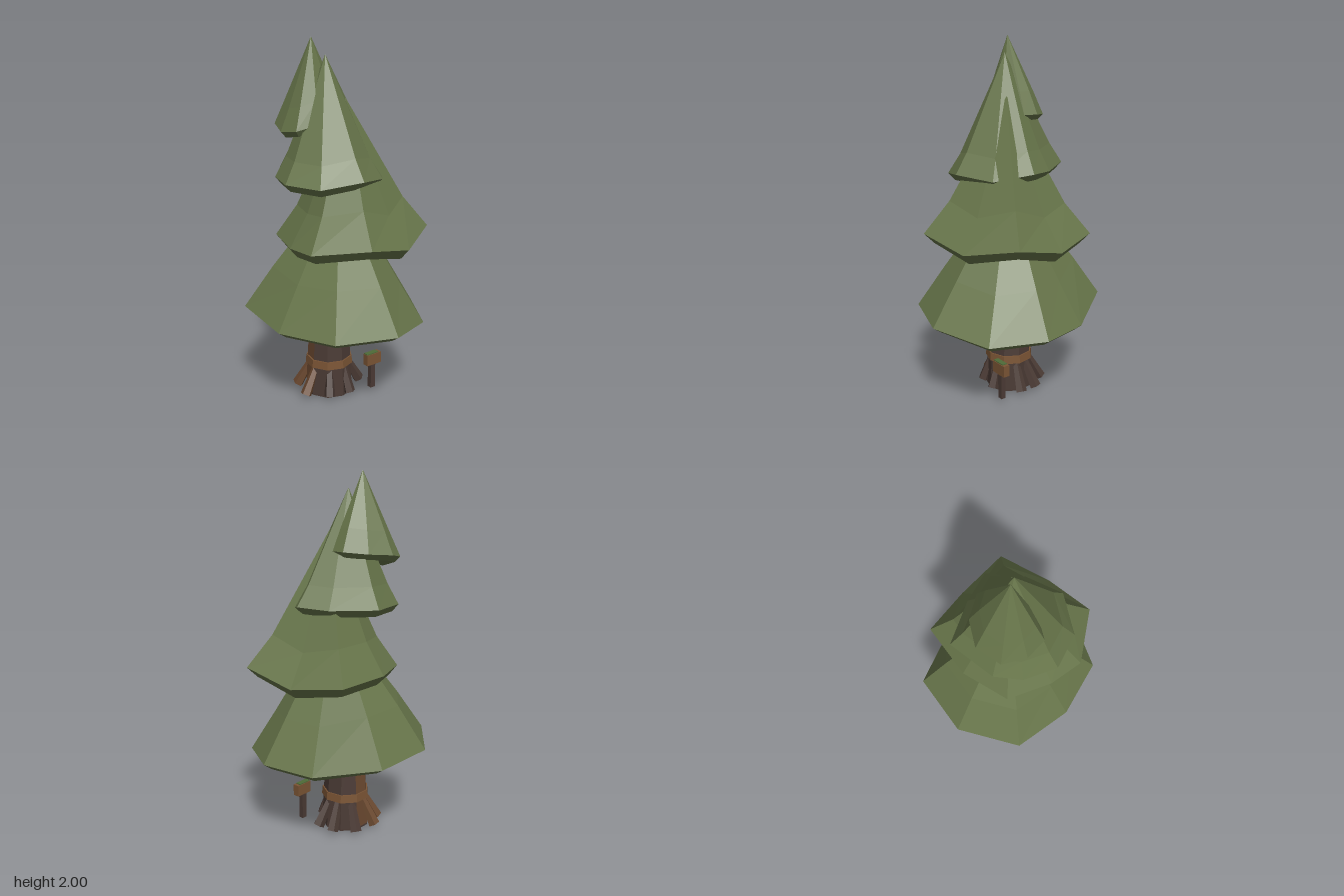
import * as THREE from 'three';

const mat = (name, color) => {
  const m = new THREE.MeshStandardMaterial({ color, flatShading: true });
  m.name = name;
  return m;
};

// Foliage tiers: apex, rim corners [x, z, y] counter-clockwise from above,
// mid = [share of the radius, height above the rim], lip = [drop, inset]
const TIERS = [
  { name: 'lowestFoliage', apex: [0, 1.25, 0], mid: [0.7, 0.23], lip: [0.035, 0.9],
    rim: [[0, 0.5, 0.5], [0.31, 0.36, 0.46], [0.46, 0.09, 0.48], [0.39, -0.2, 0.47], [0.2, -0.505, 0.54],
      [-0.17, -0.505, 0.54], [-0.465, -0.27, 0.54], [-0.465, 0.085, 0.5], [-0.33, 0.4, 0.51]] },
  { name: 'lowerFoliage', apex: [0.015, 1.69, 0.025], mid: [0.69, 0.17], lip: [0.055, 0.88],
    rim: [[-0.145, 0.455, 0.98], [0.15, 0.4, 0.92], [0.42, 0.25, 0.98], [0.39, -0.05, 0.91], [0.3, -0.33, 0.95],
      [-0.02, -0.33, 0.95], [-0.28, -0.22, 0.94], [-0.35, 0.03, 0.93], [-0.355, 0.23, 0.94]] },
  { name: 'upperFoliage', apex: [-0.075, 1.91, -0.03], mid: [0.78, 0.11], lip: [0.04, 0.88],
    rim: [[-0.07, 0.295, 1.29], [0.13, 0.2, 1.27], [0.255, 0.03, 1.31], [0.185, -0.13, 1.3], [0.04, -0.34, 1.31],
      [-0.22, -0.265, 1.3], [-0.32, -0.15, 1.28], [-0.37, 0.03, 1.27], [-0.28, 0.21, 1.26]] },
  { name: 'topFoliage', apex: [-0.125, 2, -0.085], mid: [0.73, 0.12], lip: [0.03, 0.85],
    rim: [[-0.17, 0.04, 1.56], [-0.03, 0.02, 1.58], [0.07, -0.05, 1.59], [0.08, -0.13, 1.59], [0, -0.235, 1.58],
      [-0.13, -0.29, 1.57], [-0.26, -0.24, 1.55], [-0.3, -0.115, 1.52], [-0.28, 0, 1.53]] },
];

// Faceted skirt: underside, bevelled lip, flared rim and point
function tierGeometry({ apex, rim, mid, lip }) {
  const n = rim.length, [ax, ay, az] = apex;
  const ring = (f, dy) => rim.map(([x, z, y]) => [ax + (x - ax) * f, y + dy, az + (z - az) * f]);
  const rings = [ring(lip[1], -lip[0]), ring(1, 0), ring(mid[0], mid[1])];
  const base = [ax, rim.reduce((s, c) => s + c[2], 0) / n - lip[0], az];
  const pos = [];
  const tri = (...p) => p.forEach((v) => pos.push(...v));
  for (let i = 0; i < n; i++) {
    const j = (i + 1) % n;
    tri(base, rings[0][j], rings[0][i]);
    for (let k = 0; k < 2; k++) {
      const [a, b, c, d] = [rings[k][i], rings[k][j], rings[k + 1][j], rings[k + 1][i]];
      tri(a, b, c);
      tri(a, c, d);
    }
    tri(rings[2][i], rings[2][j], apex);
  }
  const g = new THREE.BufferGeometry();
  g.setAttribute('position', new THREE.Float32BufferAttribute(pos, 3));
  g.computeVertexNormals();
  return g;
}

export function createModel() {
  const model = new THREE.Group();
  model.name = 'pineTree';
  const leaf = mat('needleGreen', 0x67754a);
  const darkBark = mat('darkBark', 0x4a3a34);
  const brownBark = mat('brownBark', 0x6b4930);
  const wood = mat('lightWood', 0x7a5434);
  const moss = mat('moss', 0x4f6b38);

  const add = (parent, name, geometry, material, x = 0, y = 0, z = 0) => {
    const m = new THREE.Mesh(geometry, material);
    m.name = name;
    m.position.set(x, y, z);
    parent.add(m);
    return m;
  };

  for (const t of TIERS) add(model, t.name, tierGeometry(t), leaf);

  // Trunk of flat bark strips, browner towards the back and -x side
  const trunk = new THREE.Group();
  trunk.name = 'trunk';
  trunk.position.set(-0.05, 0, -0.04);
  model.add(trunk);
  const bark = (a) => (Math.cos(a - Math.PI * 1.25) > 0.5 ? brownBark : darkBark);
  const sides = 9, step = (Math.PI * 2) / sides;
  const sections = [[0.01, 0.135], [0.2, 0.127], [0.6, 0.1]];
  for (let i = 0; i < sides; i++) {
    for (let k = 0; k < 2; k++) {
      const [y0, r0] = sections[k], [y1, r1] = sections[k + 1];
      add(trunk, 'barkStrip', new THREE.CylinderGeometry(r1, r0, y1 - y0, 1, 1, true, i * step, step),
        bark((i + 0.5) * step), 0, (y0 + y1) / 2, 0);
    }
  }
  add(trunk, 'trunkBase', new THREE.CylinderGeometry(0.135, 0.135, 0.01, sides), darkBark, 0, 0.01, 0);
  add(trunk, 'trunkBand', new THREE.CylinderGeometry(0.133, 0.137, 0.045, sides), wood, 0, 0.2, 0);

  // Roots splaying out to the ground
  const up = new THREE.Vector3(0, 1, 0);
  for (const deg of [15, 75, 108, 150, 195, 230, 278, 325]) {
    const a = THREE.MathUtils.degToRad(deg);
    const at = (r, y) => new THREE.Vector3(Math.sin(a) * r, y, Math.cos(a) * r);
    const reach = deg === 15 || deg === 325 ? 0.15 : 0.185;
    const top = at(0.1, 0.18), tip = at(reach, 0.025);
    const root = add(trunk, 'root', new THREE.CylinderGeometry(0.02, 0.033, top.distanceTo(tip), 5), bark(a));
    root.position.copy(top).add(tip).multiplyScalar(0.5);
    root.quaternion.setFromUnitVectors(up, top.clone().sub(tip).normalize());
  }

  // Small signpost beside the trunk
  const sign = new THREE.Group();
  sign.name = 'signpost';
  sign.position.set(0.122, 0, 0.145);
  model.add(sign);
  add(sign, 'post', new THREE.BoxGeometry(0.032, 0.17, 0.028), darkBark, 0, 0.115, -0.005);
  add(sign, 'board', new THREE.BoxGeometry(0.1, 0.065, 0.038), wood, 0, 0.212, 0);
  add(sign, 'boardMoss', new THREE.BoxGeometry(0.08, 0.006, 0.03), moss, -0.008, 0.247, 0);
  return model;
}
